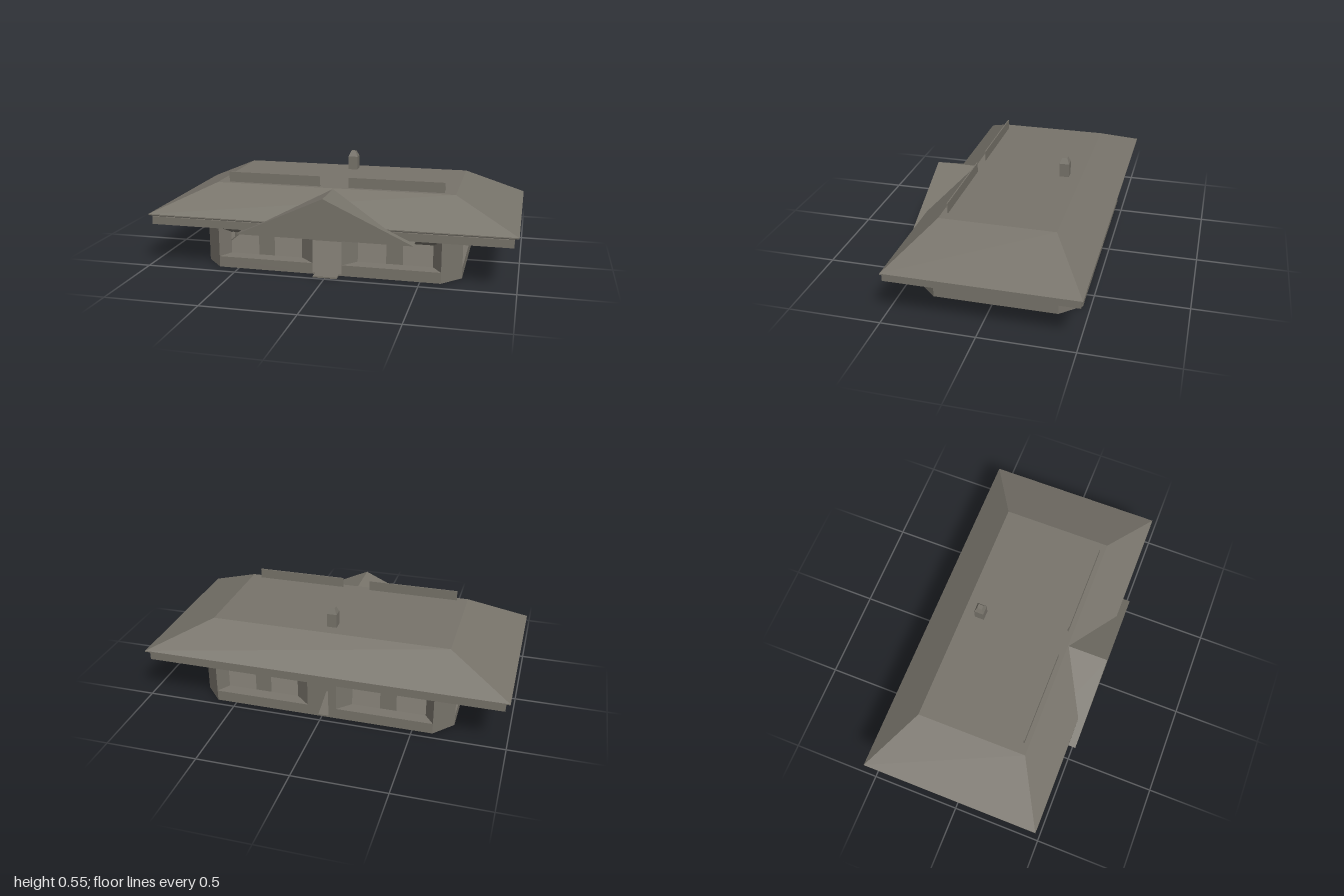
import * as THREE from 'three';

const stone = new THREE.MeshStandardMaterial({ color: 0x77736a, flatShading: true, side: THREE.DoubleSide });
stone.name = 'weathered stone';

function add(parent, name, geo) {
  const mesh = new THREE.Mesh(geo, stone);
  mesh.name = name;
  parent.add(mesh);
  return mesh;
}

// Flat four-cornered panel
function quad(parent, name, a, b, c, d) {
  const geo = new THREE.BufferGeometry();
  geo.setAttribute('position', new THREE.Float32BufferAttribute([a, b, c, a, c, d].flat(), 3));
  geo.computeVertexNormals();
  return add(parent, name, geo);
}

// Skin through horizontal rectangles [halfWidth, zFront, zBack, y], closed at both ends
function loft(parent, name, rects) {
  const rings = rects.map(([w, f, b, y]) => [[-w, y, f], [w, y, f], [w, y, b], [-w, y, b]]);
  const pos = [];
  const face = (a, b, c, d) => pos.push(...[a, b, c, a, c, d].flat());
  for (let r = 0; r < rings.length - 1; r++) {
    for (let i = 0; i < 4; i++) {
      const j = (i + 1) % 4;
      face(rings[r][i], rings[r][j], rings[r + 1][j], rings[r + 1][i]);
    }
  }
  face(...[...rings[0]].reverse());
  face(...rings[rings.length - 1]);
  const geo = new THREE.BufferGeometry();
  geo.setAttribute('position', new THREE.Float32BufferAttribute(pos, 3));
  geo.computeVertexNormals();
  return add(parent, name, geo);
}

// Window bay: low wall, splayed reveals and a post between two openings.
// P(u, y, depth) places a point on the wall; posts are [start, end] along u.
function bay(parent, name, P, [o0, o1], [i0, i1], [p0, p1]) {
  const g = new THREE.Group();
  g.name = name;
  const D = 0.06, top = 0.187, sill = 0.067;
  quad(g, 'lowWall', P(o0, 0, 0), P(o1, 0, 0), P(o1, 0.06, 0), P(o0, 0.06, 0));
  quad(g, 'sill', P(o0, 0.06, 0), P(o1, 0.06, 0), P(i1, sill, D), P(i0, sill, D));
  quad(g, 'header', P(o0, 0.225, 0), P(o1, 0.225, 0), P(i1, top, D), P(i0, top, D));
  quad(g, 'startReveal', P(o0, 0.06, 0), P(o0, 0.225, 0), P(i0, top, D), P(i0, sill, D));
  quad(g, 'endReveal', P(o1, 0.06, 0), P(o1, 0.225, 0), P(i1, top, D), P(i1, sill, D));
  quad(g, 'post', P(p0, sill, D), P(p1, sill, D), P(p1, top, D), P(p0, top, D));
  parent.add(g);
}

export function createModel() {
  const house = new THREE.Group();
  house.name = 'pavilion';

  // Floor slab with cut corners
  const plan = new THREE.Shape([
    [-0.61, -0.43], [0.61, -0.43], [0.71, -0.32], [0.71, 0.35],
    [0.61, 0.46], [-0.61, 0.46], [-0.71, 0.35], [-0.71, -0.32],
  ].map(([x, y]) => new THREE.Vector2(x, y)));
  const floor = new THREE.ExtrudeGeometry(plan, { depth: 0.008, bevelEnabled: false });
  add(house, 'floor', floor.rotateX(-Math.PI / 2));

  const front = (u, y, d) => [u, y, 0.43 - d];
  const back = (u, y, d) => [u, y, -0.46 + d];

  for (const s of [-1, 1]) {
    const side = (u, y, d) => [s * (0.71 - d), y, u];
    const mirror = (P) => (u, y, d) => P(s * u, y, d);

    // Window bays on all four walls
    bay(house, 'frontBay', mirror(front), [0.08, 0.61], [0.155, 0.56], [0.31, 0.40]);
    bay(house, 'backBay', mirror(back), [0.08, 0.61], [0.155, 0.56], [0.31, 0.40]);
    bay(house, 'sideBay', side, [0.32, -0.35], [0.24, -0.17], [0.085, -0.115]);

    // Angled corner walls
    for (const [z0, z1] of [[0.43, 0.32], [-0.46, -0.35]]) {
      quad(house, 'cornerWall', [s * 0.61, 0, z0], [s * 0.71, 0, z1],
        [s * 0.71, 0.24, z1], [s * 0.61, 0.24, z0]);
    }

    // Upright boards standing on the roof
    add(house, 'roofBoard', new THREE.BoxGeometry(0.52, 0.058, 0.006))
      .position.set(s * 0.34, 0.472, 0.26);
  }

  // Narrow wall strip that meets the eaves
  for (const P of [front, back]) {
    quad(house, 'wallTop', P(-0.61, 0.22, 0), P(0.61, 0.22, 0), P(0.61, 0.24, 0), P(-0.61, 0.24, 0));
  }
  for (const s of [-1, 1]) {
    quad(house, 'wallTop', [s * 0.71, 0.22, 0.32], [s * 0.71, 0.22, -0.35],
      [s * 0.71, 0.24, -0.35], [s * 0.71, 0.24, 0.32]);
  }

  // Front doorway and step
  quad(house, 'doorHeader', front(-0.08, 0.19, 0), front(0.08, 0.19, 0), front(0.08, 0.225, 0), front(-0.08, 0.225, 0));
  add(house, 'doorStep', new THREE.BoxGeometry(0.13, 0.008, 0.06)).position.set(0, 0.004, 0.455);

  // Back entrance wall with a slanted gap
  const entry = new THREE.Shape([[-0.08, 0], [0.08, 0], [0.08, 0.225], [-0.08, 0.225]]
    .map(([x, y]) => new THREE.Vector2(x, y)));
  entry.holes.push(new THREE.Path([[-0.037, 0.009], [-0.037, 0.165], [-0.028, 0.165], [0.02, 0.009]]
    .map(([x, y]) => new THREE.Vector2(x, y))));
  add(house, 'backEntry', new THREE.ShapeGeometry(entry)).position.z = -0.46;

  // Eaves band and hipped roof with a flat top
  loft(house, 'eavesBand', [[0.975, 0.48, -0.51, 0.235], [0.975, 0.48, -0.51, 0.278]]);
  loft(house, 'roof', [
    [0.97, 0.465, -0.50, 0.276],
    [0.998, 0.48, -0.522, 0.284],
    [0.998, 0.48, -0.522, 0.290],
    [0.66, 0.29, -0.325, 0.445],
  ]);

  // Gable over the entrance
  const gable = new THREE.Shape([[-0.475, 0.222], [0.475, 0.222], [0, 0.442]]
    .map(([x, y]) => new THREE.Vector2(x, y)));
  add(house, 'entranceGable', new THREE.ExtrudeGeometry(gable, { depth: 0.225, bevelEnabled: false }))
    .position.z = 0.295;

  // Chimney with tapered cap
  loft(house, 'chimney', [
    [0.027, -0.203, -0.257, 0.44],
    [0.027, -0.203, -0.257, 0.522],
    [0.013, -0.216, -0.244, 0.553],
  ]);

  return house;
}
